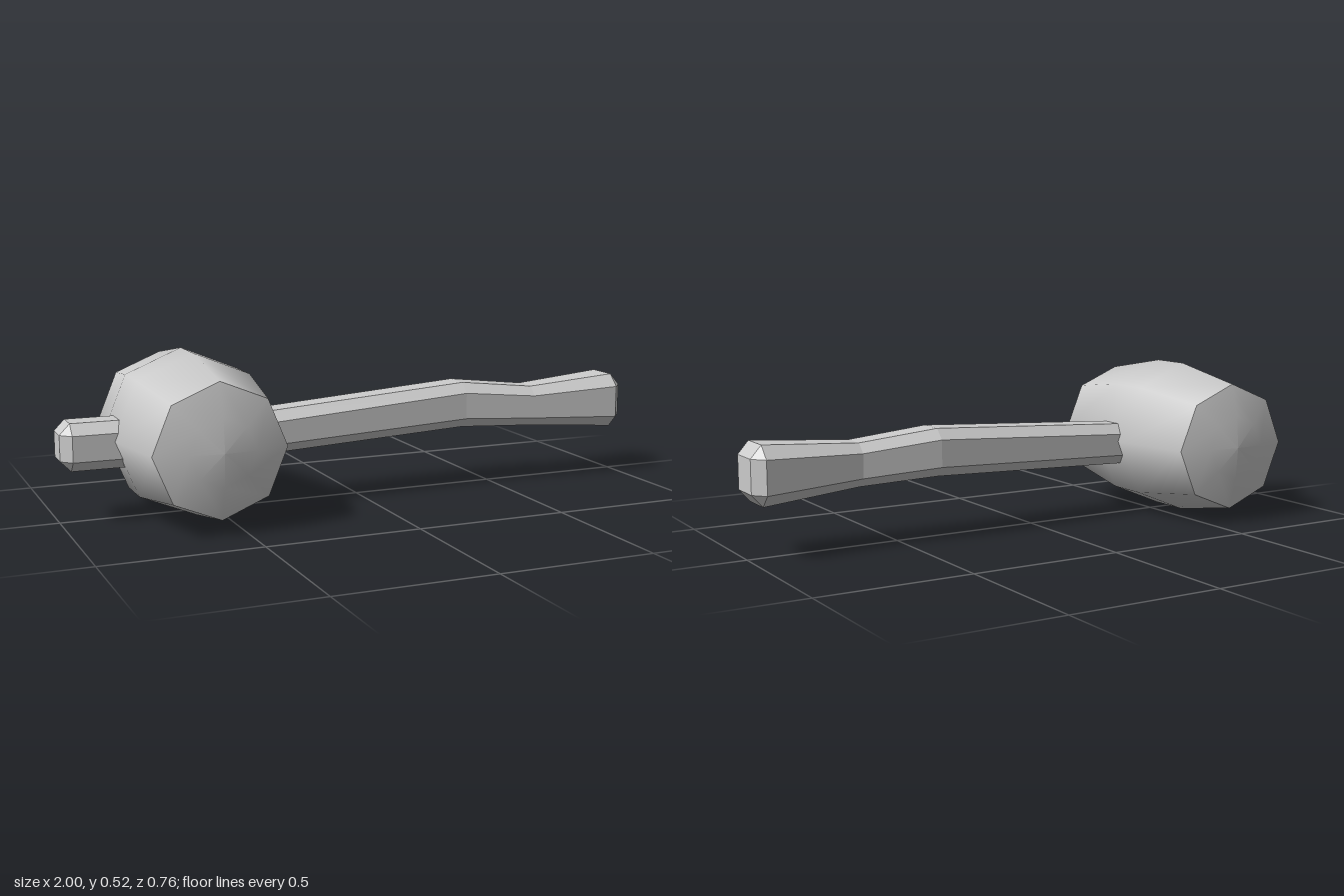
import * as THREE from 'three';

// Chamfered rectangular section: x, centre y, half height, centre z, half depth, chamfer
const section = ([x, cy, h, cz, w, c]) => [
  [w, c - h], [w, h - c], [w - c, h], [c - w, h],
  [-w, h - c], [-w, c - h], [c - w, -h], [w - c, -h],
].map(([u, v]) => new THREE.Vector3(x, cy + v, cz - u));

// Skin a row of sections, with both ends capped
function loft(rows) {
  const rings = rows.map(section), tris = [];
  const add = (a, b, c) => {
    if (new THREE.Triangle(a, b, c).getArea() > 1e-8) tris.push(a, b, c);
  };
  for (let r = 0; r < rings.length - 1; r++) {
    const a = rings[r], b = rings[r + 1];
    for (let i = 0; i < 8; i++) {
      const j = (i + 1) % 8;
      add(a[i], a[j], b[j]);
      add(a[i], b[j], b[i]);
    }
  }
  const first = rings[0], last = rings[rings.length - 1];
  for (let i = 1; i < 7; i++) {
    add(first[0], first[i + 1], first[i]);
    add(last[0], last[i], last[i + 1]);
  }
  const geo = new THREE.BufferGeometry().setFromPoints(tris);
  geo.computeVertexNormals();
  return geo;
}

export function createModel() {
  const group = new THREE.Group();
  const smooth = new THREE.MeshStandardMaterial({ color: 0xcccccc });
  const flat = new THREE.MeshStandardMaterial({ color: 0xcccccc, flatShading: true });

  // Eight-sided barrel head lying along z, with shallow domed faces
  const head = new THREE.Group();
  head.name = 'head';
  head.position.set(-0.58, 0.26, 0);
  const profiles = {
    barrel: [[0.211, -0.34], [0.259, -0.07], [0.259, 0.07], [0.211, 0.34]],
    frontFace: [[0.211, 0.34], [0.106, 0.368], [0, 0.378]],
    backFace: [[0, -0.378], [0.106, -0.368], [0.211, -0.34]],
  };
  for (const [name, pts] of Object.entries(profiles)) {
    const geo = new THREE.LatheGeometry(pts.map(p => new THREE.Vector2(...p)), 8);
    geo.rotateX(Math.PI / 2);
    const mesh = new THREE.Mesh(geo, smooth);
    mesh.name = name;
    head.add(mesh);
  }
  group.add(head);

  // Slightly crooked handle passing through the head, bevelled at both ends
  const handle = new THREE.Mesh(loft([
    [-1, 0.246, 0.041, 0.005, 0.041, 0],
    [-0.967, 0.246, 0.075, 0.005, 0.075, 0.034],
    [-0.75, 0.246, 0.075, 0.007, 0.075, 0.034],
    [-0.4, 0.244, 0.069, 0.026, 0.073, 0.033],
    [0.38, 0.283, 0.077, -0.008, 0.077, 0.033],
    [0.64, 0.263, 0.069, 0.01, 0.07, 0.03],
    [0.965, 0.262, 0.094, -0.001, 0.094, 0.04],
    [1, 0.262, 0.054, -0.001, 0.054, 0],
  ]), flat);
  handle.name = 'handle';
  group.add(handle);
  return group;
}
